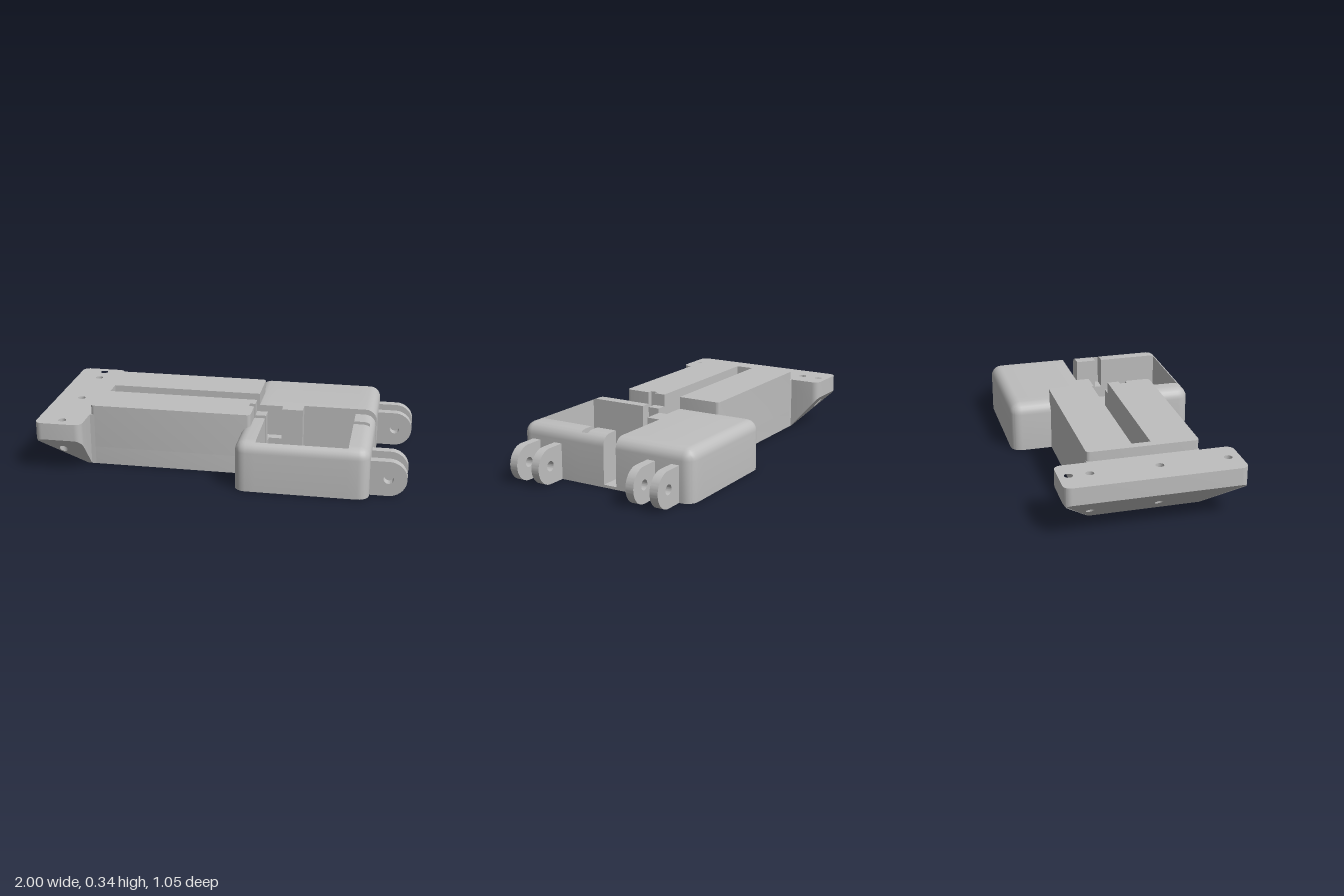
import * as THREE from 'three';
import { toCreasedNormals } from 'three/addons/utils/BufferGeometryUtils.js';

const grey = new THREE.MeshStandardMaterial({ color: 0xbebebe });
grey.name = 'grey plastic';

function add(parent, name, geometry) {
  const mesh = new THREE.Mesh(toCreasedNormals(geometry, 0.6), grey);
  mesh.name = name;
  parent.add(mesh);
  return mesh;
}

// Plan arc as [x, z] points
function arc(cx, cz, r, a0, a1, n = 5) {
  return Array.from({ length: n + 1 }, (_, k) => {
    const a = a0 + (a1 - a0) * k / n;
    return [cx + r * Math.cos(a), cz + r * Math.sin(a)];
  });
}

// Plan outline with round holes, raised from y0 to y1; an optional rule lifts the underside
function slab(points, holes, y0, y1, underside) {
  const shape = new THREE.Shape(points.map(([x, z]) => new THREE.Vector2(x, -z)));
  for (const [x, z] of holes) {
    const path = new THREE.Path();
    path.absarc(x, -z, 0.022, 0, Math.PI * 2, true);
    shape.holes.push(path);
  }
  const geo = new THREE.ExtrudeGeometry(shape, { depth: y1 - y0, bevelEnabled: false, curveSegments: 8 });
  geo.rotateX(-Math.PI / 2).translate(0, y0, 0);
  if (underside) {
    const p = geo.attributes.position;
    for (let i = 0; i < p.count; i++) {
      if (p.getY(i) < y0 + 0.001) p.setY(i, Math.max(0, underside(p.getX(i), p.getZ(i))));
    }
  }
  return geo;
}

// Rounded block with rectangular recesses [x0, x1, z0, z1, floor], built over a plan grid
function recessedBlock(x0, x1, z0, z1, top, r, cuts) {
  const lines = (lo, hi, extra) => {
    const v = [...extra];
    for (let k = 0; k <= 6; k++) {
      const d = r * (1 - Math.sin(k * Math.PI / 12));
      v.push(lo + d, hi - d);
    }
    return v.sort((a, b) => a - b).filter((a, i, s) => a >= lo && a <= hi && (!i || a - s[i - 1] > 1e-6));
  };
  const xs = lines(x0, x1, cuts.flatMap(c => [c[0], c[1]]));
  const zs = lines(z0, z1, cuts.flatMap(c => [c[2], c[3]]));
  const mx = (x0 + x1) / 2, mz = (z0 + z1) / 2, hx = (x1 - x0) / 2 - r, hz = (z1 - z0) / 2 - r;

  // Plan position and filleted height of a grid point
  const point = (i, j) => {
    let x = xs[i] - mx, z = zs[j] - mz;
    const ax = Math.max(0, Math.abs(x) - hx), az = Math.max(0, Math.abs(z) - hz), m = Math.max(ax, az);
    if (ax > 0 && az > 0) {
      const s = m / Math.hypot(ax, az);
      x = Math.sign(x) * (hx + ax * s);
      z = Math.sign(z) * (hz + az * s);
    }
    return { x: x + mx, z: z + mz, h: top - r + Math.sqrt(Math.max(0, r * r - m * m)) };
  };
  const floorOf = (i, j) => {
    if (i < 0 || j < 0 || i >= xs.length - 1 || j >= zs.length - 1) return 0;
    const x = (xs[i] + xs[i + 1]) / 2, z = (zs[j] + zs[j + 1]) / 2;
    return Math.min(9, ...cuts.filter(c => x > c[0] && x < c[1] && z > c[2] && z < c[3]).map(c => c[4]));
  };

  const pos = [];
  const quad = (a, b, c, d) => pos.push(...a, ...b, ...c, ...a, ...c, ...d);
  const at = (p, y) => [p.x, Math.min(p.h, y), p.z];
  for (let i = 0; i < xs.length - 1; i++) {
    for (let j = 0; j < zs.length - 1; j++) {
      const f = floorOf(i, j);
      const c = [point(i, j), point(i, j + 1), point(i + 1, j + 1), point(i + 1, j)];
      quad(...c.map(p => at(p, f)));
      quad(...c.map(p => at(p, 0)).reverse());
      [[-1, 0], [0, 1], [1, 0], [0, -1]].forEach(([di, dj], k) => {
        const g = floorOf(i + di, j + dj), p = c[k], q = c[(k + 1) % 4];
        if (g < f) quad(at(p, f), at(p, g), at(q, g), at(q, f));
      });
    }
  }
  const geo = new THREE.BufferGeometry();
  geo.setAttribute('position', new THREE.Float32BufferAttribute(pos, 3));
  return geo;
}

export function createModel() {
  const model = new THREE.Group();
  model.name = 'hinged housing';
  const Q = Math.PI / 2;

  // Long body: solid floor below, walls around the open slot above
  const left = [...arc(-0.715, 0.276, 0.02, Q, 2 * Q), ...arc(-0.715, -0.276, 0.02, 2 * Q, 3 * Q)];
  const right = [...arc(0.13, -0.276, 0.02, -Q, 0)];
  const rightFront = arc(0.13, 0.276, 0.02, 0, Q);
  const slotFloor = 0.1;
  add(model, 'bodyFloor', slab([...left, ...right, ...rightFront], [[-0.5, -0.03], [-0.03, -0.03]], 0, slotFloor));
  add(model, 'bodyWalls', slab([
    ...left, ...right,
    [0.15, -0.05], [-0.69, -0.05], [-0.69, 0.05], [0.15, 0.05],
    [0.15, 0.115], [0.12, 0.115], [0.12, 0.154], [0.15, 0.154],
    ...rightFront,
  ], [], slotFloor, 0.341));

  // Wide block with pocket, cable channel, side slot and two cover notches
  add(model, 'wideBlock', recessedBlock(0.098, 0.806, -0.523, 0.523, 0.275, 0.06, [
    [0.21, 0.693, 0, 0.49, 0.03],
    [0.4, 0.806, -0.076, 0, 0.015],
    [0.098, 0.283, -0.05, 0, slotFloor],
    [0.098, 0.21, 0, 0.05, slotFloor],
    [0.12, 0.21, 0.115, 0.154, slotFloor],
    [0.693, 0.78, 0.115, 0.154, slotFloor],
  ]));

  // Mounting flange: flat top with screw holes, underside sloping in to the body
  const flange = new THREE.Group();
  flange.name = 'mountingFlange';
  model.add(flange);
  const H = 0.289;
  const corner = arc(-0.96, 0.43, 0.04, 2 * Q, 1.5 * Q, 4);
  const mirrored = corner.map(([x, z]) => [x, -z]).reverse();
  add(flange, 'flangeEnd', slab(
    [...corner, [-0.76, 0.296], [-0.76, -0.296], ...mirrored],
    [[-0.862, -0.31], [-0.862, 0.047]], 0, H,
    x => 0.195 * (-0.76 - x) / 0.24));
  for (const [s, holeZ, name] of [[1, 0.405, 'flangeFront'], [-1, -0.417, 'flangeBack']]) {
    const outline = [
      ...arc(-0.96, 0.43, 0.04, 1.5 * Q, Q, 4), ...arc(-0.78, 0.43, 0.04, Q, 0),
      [-0.74, 0.296], [-0.76, 0.296],
    ].map(([x, z]) => [x, z * s]);
    add(flange, name, slab(outline, [[-0.862, holeZ]], 0, H, (x, z) => 0.195 * (Math.abs(z) - 0.296) / 0.174));
  }
  add(flange, 'flangeJoint', slab([[-0.76, -0.296], [-0.715, -0.296], [-0.715, 0.296], [-0.76, 0.296]], [], 0, H));

  // Hinge lugs in two pairs
  const R = 0.0965, cx = 1 - R;
  const lug = new THREE.Shape();
  lug.moveTo(0.78, 0);
  lug.lineTo(cx, 0);
  lug.absarc(cx, R, R, -Q, Q, false);
  lug.lineTo(0.78, 2 * R);
  const pin = new THREE.Path();
  pin.absarc(cx, R, 0.027, 0, Math.PI * 2, true);
  lug.holes.push(pin);
  for (const z of [-0.427, -0.288, 0.288, 0.427]) {
    const geo = new THREE.ExtrudeGeometry(lug, { depth: 0.046, bevelEnabled: false, curveSegments: 20 });
    add(model, 'hingeLug', geo.translate(0, 0, z - 0.023));
  }
  return model;
}
